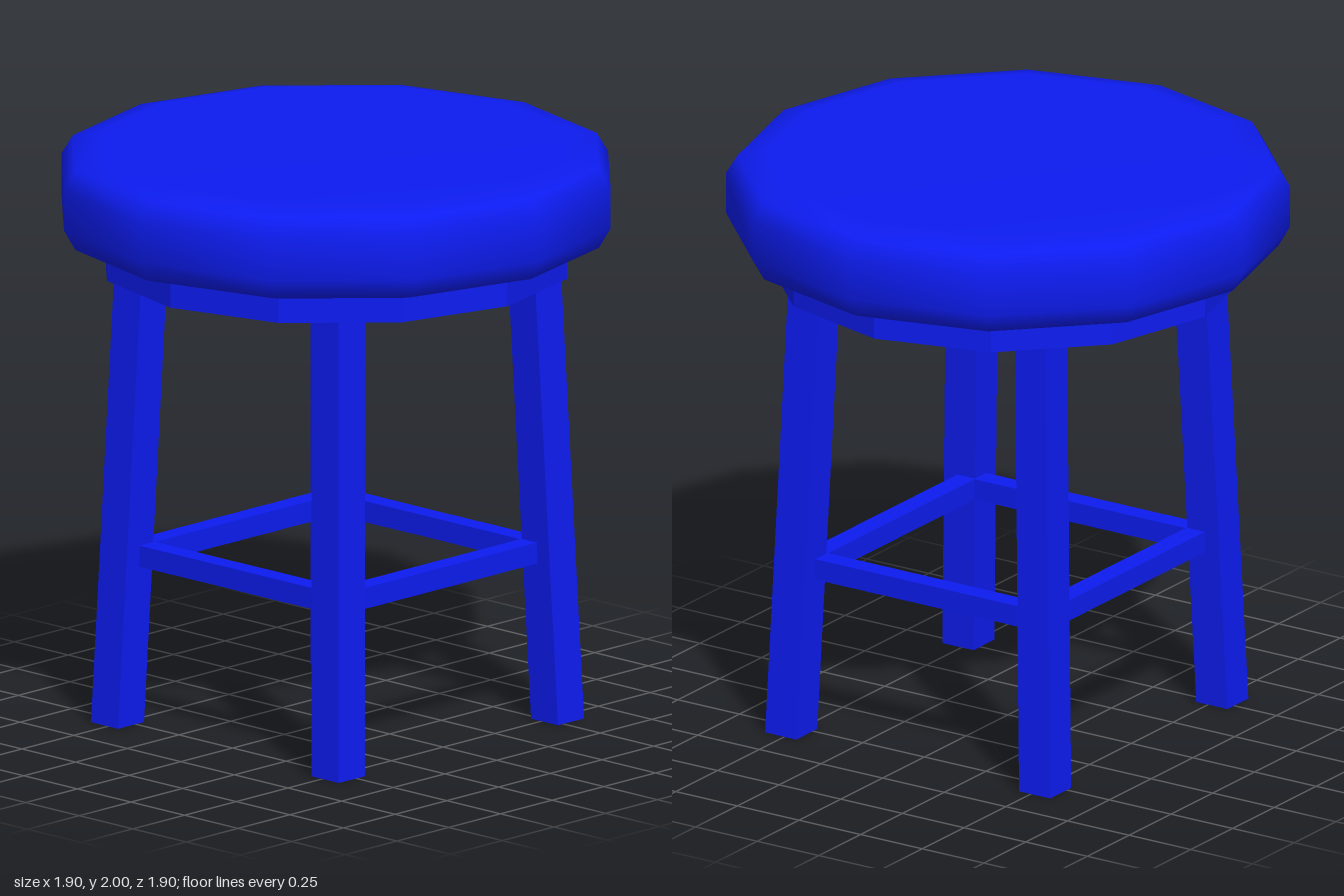
import * as THREE from 'three';

const SIDES = 12;
const LEG_TOP = 1.67;
const SHIFT_X = 0.0075; // the leg frame sits slightly off centre

export function createModel() {
  const group = new THREE.Group();
  const color = 0x0d1cf0;
  const smooth = new THREE.MeshStandardMaterial({ color });
  const flat = new THREE.MeshStandardMaterial({ color, flatShading: true });
  const thin = new THREE.MeshStandardMaterial({ color, flatShading: true, side: THREE.DoubleSide });

  const add = (name, geometry, material, parent = group) => {
    const mesh = new THREE.Mesh(geometry, material);
    mesh.name = name;
    parent.add(mesh);
    return mesh;
  };

  // Padded round seat
  const profile = [
    [0, 1.67], [0.8, 1.67], [0.91, 1.7], [0.95, 1.77],
    [0.95, 1.91], [0.91, 1.975], [0.8, 2], [0, 2],
  ].map(([r, y]) => new THREE.Vector2(r, y));
  add('seat', new THREE.LatheGeometry(profile, SIDES), smooth);

  // Thin hollow apron under the seat
  const apron = new THREE.CylinderGeometry(0.8, 0.8, 0.085, SIDES, 1, true);
  add('apron', apron, thin).position.y = 1.6275;

  const frame = new THREE.Group();
  frame.name = 'legFrame';
  frame.position.x = SHIFT_X;
  group.add(frame);

  // Four square legs, sheared so they splay outward but keep level ends
  const leg = (sx, sz) => {
    const g = new THREE.BoxGeometry(0.126, LEG_TOP, 0.126).translate(0, LEG_TOP / 2, 0);
    const p = g.attributes.position;
    for (let i = 0; i < p.count; i++) {
      const t = p.getY(i) / LEG_TOP;
      p.setX(i, p.getX(i) + sx * THREE.MathUtils.lerp(0.53, 0.47, t));
      p.setZ(i, p.getZ(i) + sz * THREE.MathUtils.lerp(0.515, 0.457, t));
    }
    g.computeVertexNormals();
    return g;
  };
  for (const [side, sx] of [['Left', 1], ['Right', -1]]) {
    add(`front${side}Leg`, leg(sx, 1), flat, frame);
    add(`back${side}Leg`, leg(sx, -1), flat, frame);
  }

  // Four stretchers joining the legs
  const bar = 0.073, y = 0.588;
  for (const s of [1, -1]) {
    add(s > 0 ? 'frontStretcher' : 'backStretcher', new THREE.BoxGeometry(0.95, bar, bar), flat, frame)
      .position.set(0, y, s * 0.465);
    add(s > 0 ? 'leftStretcher' : 'rightStretcher', new THREE.BoxGeometry(bar, bar, 0.93), flat, frame)
      .position.set(s * 0.475, y, 0);
  }

  return group;
}
